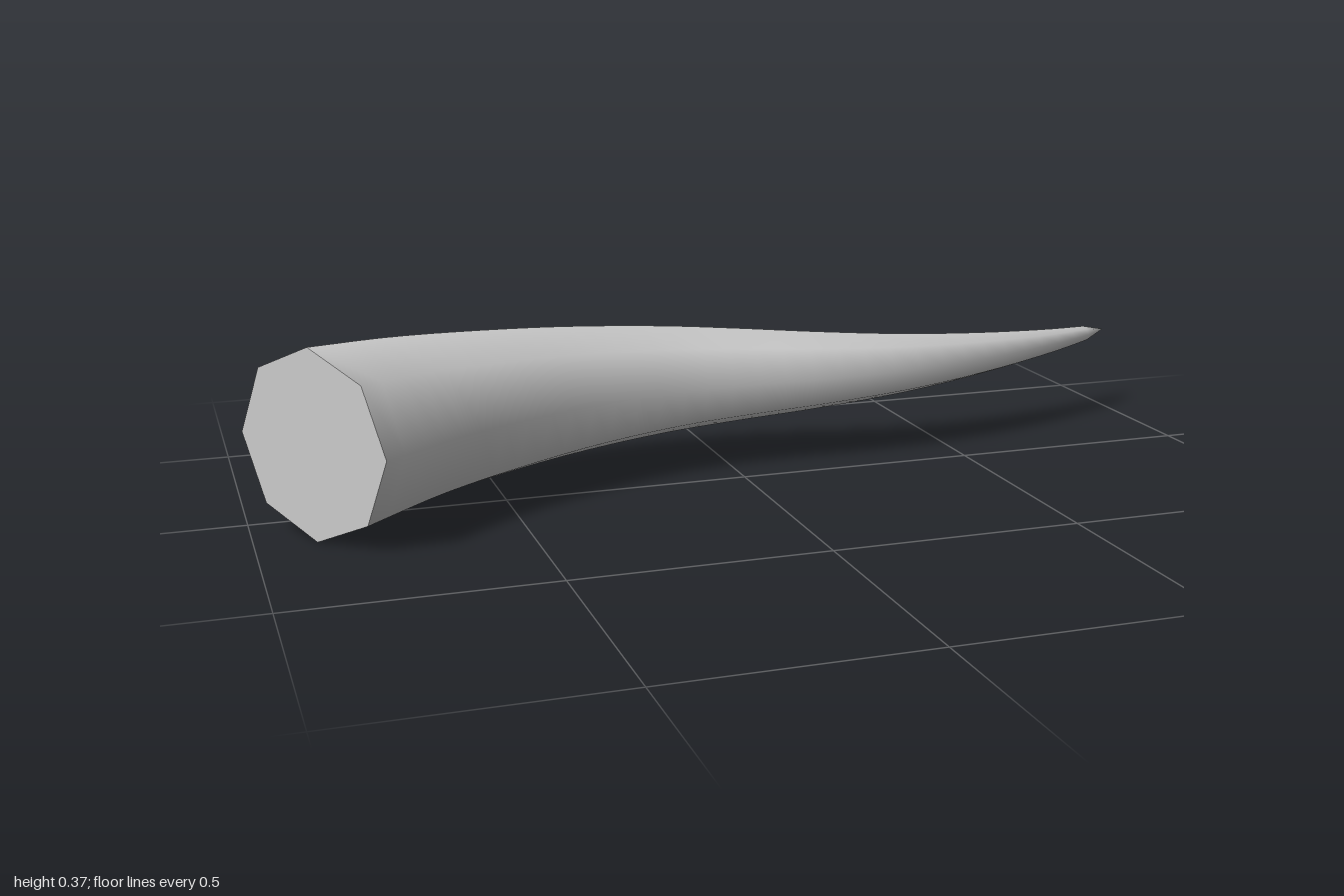
import * as THREE from 'three';

const SIDES = 8, RINGS = 32, MID_Y = 0.185, BASE_R = 0.185;

// Centre line in plan, as [x, z], from the base to the start of the point
const PATH = [
  [-0.886, 0.147], [-0.72, 0.037], [-0.54, -0.045], [-0.34, -0.11], [-0.13, -0.14], [0.03, -0.134],
  [0.2, -0.118], [0.4, -0.118], [0.6, -0.152], [0.8, -0.212], [0.92, -0.262],
];
const TIP = [0.99, MID_Y, -0.295];

export function createModel() {
  const group = new THREE.Group();
  group.name = 'horn';
  const material = new THREE.MeshStandardMaterial({ color: 0xcccccc });
  const curve = new THREE.CatmullRomCurve3(PATH.map(([x, z]) => new THREE.Vector3(x, MID_Y, z)));

  // Eight-sided rings that shrink evenly along the curve
  const positions = [], index = [];
  for (let i = 0; i <= RINGS; i++) {
    const c = curve.getPointAt(i / RINGS);
    // The base ring is square to the measured base direction
    const t = i === 0 ? new THREE.Vector3(0.79, 0, -0.613) : curve.getTangentAt(i / RINGS);
    const r = THREE.MathUtils.mapLinear(c.x, PATH[0][0], 0.92, BASE_R, 0.018);
    for (let j = 0; j < SIDES; j++) {
      const a = (j / SIDES) * Math.PI * 2;
      const s = r * Math.cos(a);
      positions.push(c.x - t.z * s, c.y + r * Math.sin(a), c.z + t.x * s);
    }
  }
  for (let i = 0; i < RINGS; i++) {
    for (let j = 0; j < SIDES; j++) {
      const k = (j + 1) % SIDES;
      const a = i * SIDES + j, b = i * SIDES + k;
      index.push(a, a + SIDES, b, b, a + SIDES, b + SIDES);
    }
  }

  // Pointed end
  const tip = positions.length / 3;
  positions.push(...TIP);
  for (let j = 0; j < SIDES; j++) {
    index.push(RINGS * SIDES + j, tip, RINGS * SIDES + ((j + 1) % SIDES));
  }

  const geometry = new THREE.BufferGeometry();
  geometry.setAttribute('position', new THREE.Float32BufferAttribute(positions, 3));
  geometry.setIndex(index);
  geometry.computeVertexNormals();
  const body = new THREE.Mesh(geometry, material);
  body.name = 'hornBody';
  group.add(body);

  // Flat octagonal base, facing away from the tip
  const cap = new THREE.Mesh(new THREE.CircleGeometry(BASE_R, SIDES), material);
  cap.name = 'hornBase';
  cap.position.set(PATH[0][0], MID_Y, PATH[0][1]);
  cap.lookAt(PATH[0][0] - 0.79, MID_Y, PATH[0][1] + 0.613);
  group.add(cap);

  return group;
}
